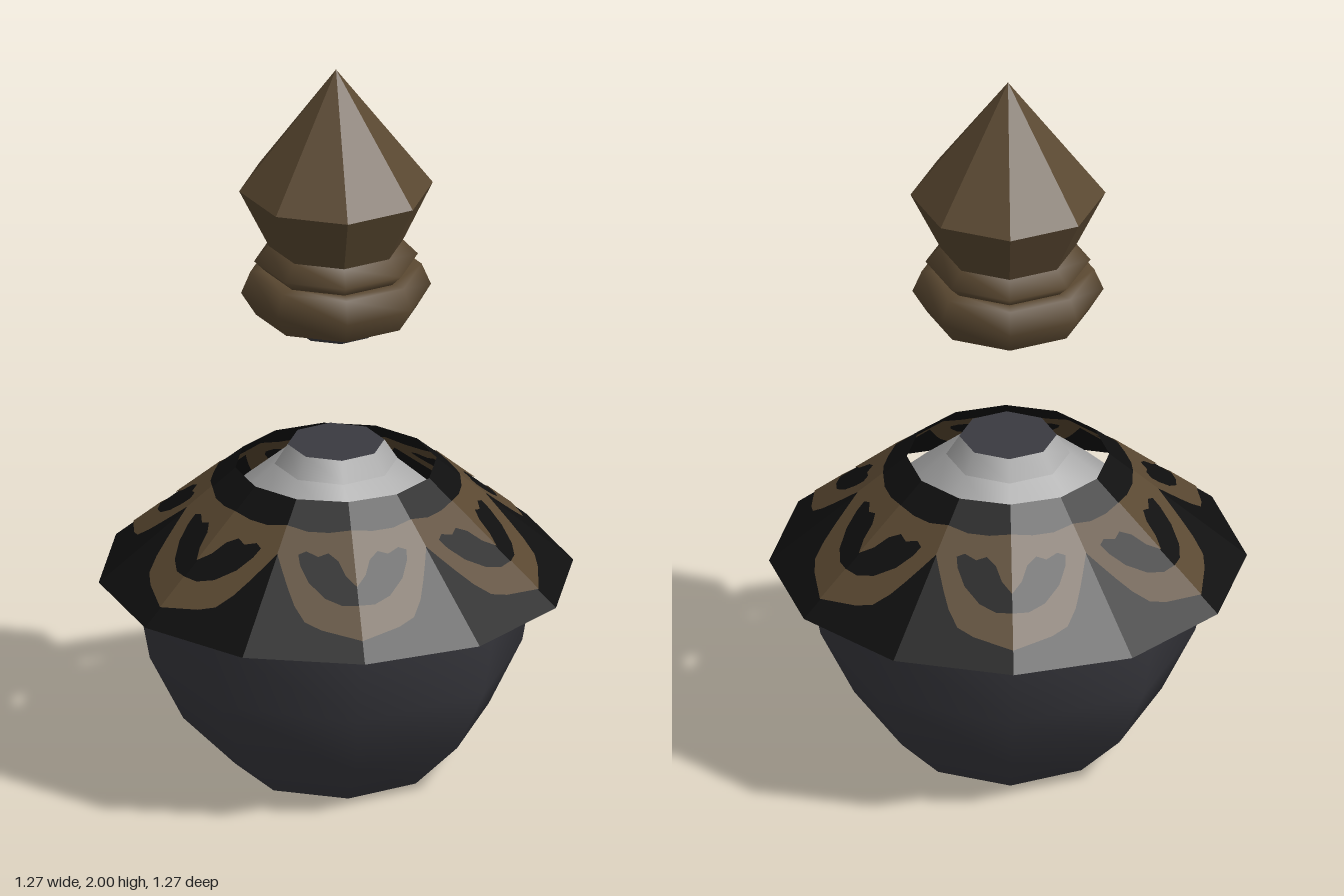
import * as THREE from 'three';

const mat = (name, color, extra = {}) => {
  const m = new THREE.MeshStandardMaterial({ color, ...extra });
  m.name = name;
  return m;
};

export function createModel() {
  const group = new THREE.Group();
  const both = { side: THREE.DoubleSide };
  const slate = mat('slate glass', 0x3a3a40);
  const grey = mat('pale grey', 0xaaaaaa);
  const navy = mat('dark navy', 0x070720);
  const black = mat('black cloth', 0x0f0f0f, both);
  const brown = mat('bronze', 0x5a4831, both);

  const add = (name, geometry, material, y = 0) => {
    const mesh = new THREE.Mesh(geometry, material);
    mesh.name = name;
    mesh.position.y = y;
    group.add(mesh);
    return mesh;
  };
  // Eight-sided turned part; profile runs bottom to top as [radius, y]
  const turned = (name, profile, material, flat = false) => {
    let g = new THREE.LatheGeometry(profile.map(([r, y]) => new THREE.Vector2(r, y)), 8);
    if (flat) {
      g = g.toNonIndexed();
      g.computeVertexNormals();
    }
    return add(name, g, material);
  };

  // Bottle
  turned('bottleBase', [[0, 0], [0.27, 0]], navy).geometry.computeVertexNormals();
  turned('bottleBowl', [[0.27, 0], [0.41, 0.14], [0.5, 0.32], [0.535, 0.51]], slate);
  turned('bottleBand', [[0.535, 0.51], [0.52, 0.545]], grey);
  turned('bottleShoulder', [[0.52, 0.545], [0.3, 0.75], [0.165, 0.865]], grey);
  turned('bottleNeck', [[0.165, 0.865], [0.13, 0.92]], grey);
  turned('bottleMouth', [[0.13, 0.92], [0, 0.92]], slate);

  // Cloth collar: open twelve-sided frustum
  const top = { r: 0.27, y: 0.86 }, rim = { r: 0.637, y: 0.545 };
  const collar = new THREE.CylinderGeometry(top.r, rim.r, top.y - rim.y, 12, 1, true).toNonIndexed();
  collar.computeVertexNormals();
  add('collar', collar, black, (top.y + rim.y) / 2);

  // Petal pattern: half a petal as [radius, degrees from the petal axis], laid on each collar face
  const half = [
    [0.337, 0], [0.335, 10], [0.335, 20], [0.333, 30], [0.4, 30],
    [0.43, 26.5], [0.465, 23], [0.5, 19.8], [0.533, 16], [0.55, 11], [0.567, 5], [0.587, 0],
    [0.507, 0], [0.5, 5], [0.48, 10.5], [0.445, 16.5], [0.41, 20.5], [0.388, 22],
    [0.378, 19], [0.388, 14], [0.38, 10], [0.4, 6], [0.435, 3.5], [0.465, 0],
  ];
  const c15 = Math.cos(Math.PI / 12);
  const slope = (top.y - rim.y) / ((rim.r - top.r) * c15);
  const pattern = new THREE.Group();
  pattern.name = 'petalPattern';
  group.add(pattern);
  for (let k = 0; k < 6; k++) for (const sign of [1, -1]) {
    const axis = THREE.MathUtils.degToRad(30 + 60 * k);
    const face = axis + sign * Math.PI / 12;
    const shape = new THREE.Shape(half.map(([r, t]) => {
      const a = axis + sign * THREE.MathUtils.degToRad(t);
      return new THREE.Vector2(r * Math.cos(a), r * Math.sin(a));
    }));
    // One layer just above the cloth and one just below
    for (const lift of [0.004, -0.004]) {
      const g = new THREE.ShapeGeometry(shape);
      const p = g.attributes.position;
      for (let i = 0; i < p.count; i++) {
        const x = p.getX(i), z = p.getY(i);
        const d = x * Math.cos(face) + z * Math.sin(face);
        p.setXYZ(i, x, top.y - (d - top.r * c15) * slope + lift, z);
      }
      // Triangles face upward, like the cloth
      g.index.array.reverse();
      g.computeVertexNormals();
      const mesh = new THREE.Mesh(g, brown);
      mesh.name = 'halfPetal';
      pattern.add(mesh);
    }
  }

  // Floating stopper
  turned('corkEnd', [[0, 1.25], [0.11, 1.25]], slate);
  turned('cork', [[0.11, 1.25], [0.137, 1.3]], slate);
  turned('stopperUnderside', [[0.137, 1.3], [0.215, 1.3]], slate);
  turned('stopperLowerRing', [[0.215, 1.3], [0.255, 1.365], [0.23, 1.425], [0.19, 1.425]], brown);
  turned('stopperUpperRing', [[0.19, 1.425], [0.22, 1.455], [0.18, 1.497]], brown);
  turned('stopperGem', [[0.18, 1.497], [0.26, 1.66], [0, 2]], brown, true);

  return group;
}
